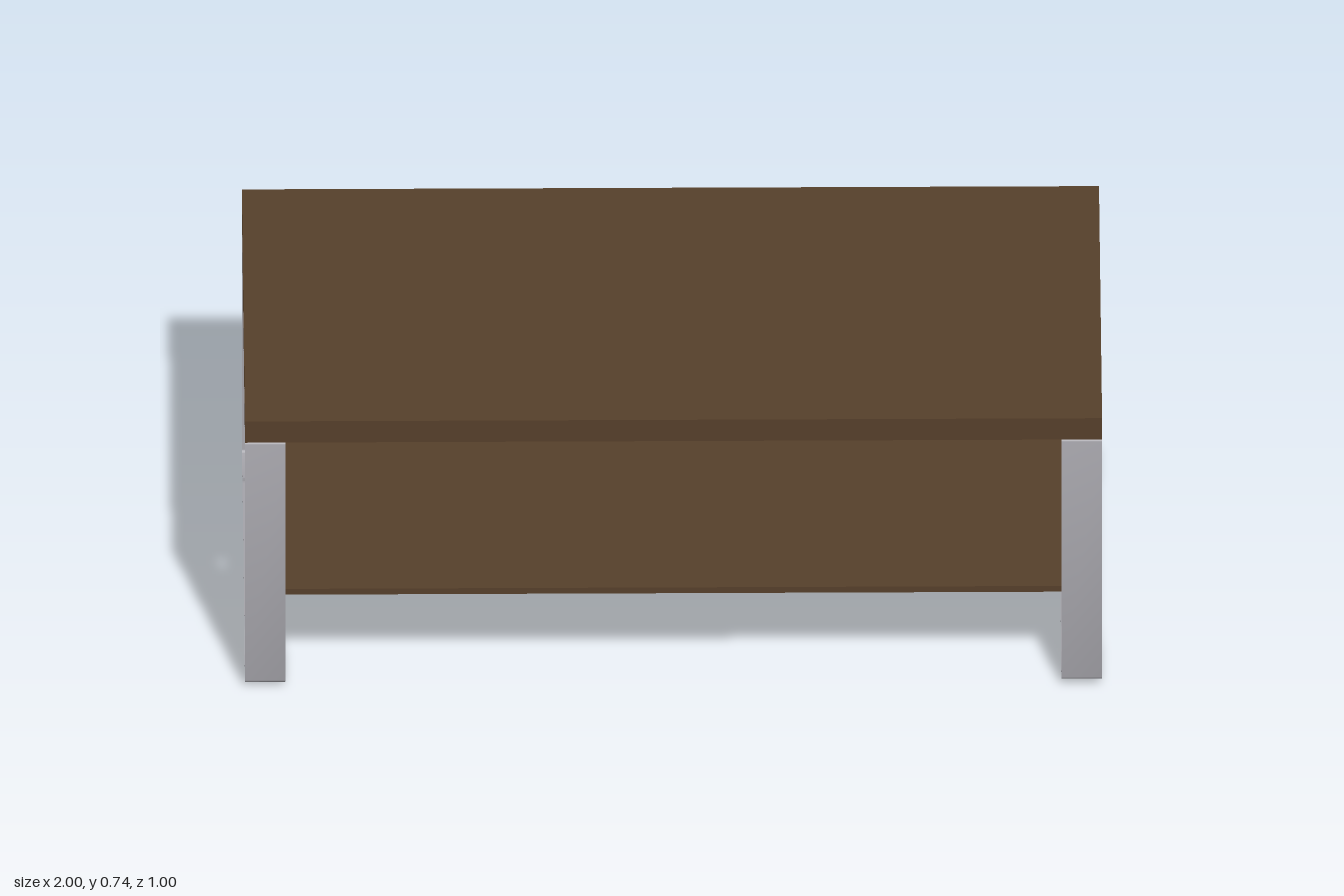
import * as THREE from 'three';
import { toCreasedNormals } from 'three/addons/utils/BufferGeometryUtils.js';

const mat = (name, color) => Object.assign(new THREE.MeshStandardMaterial({ color }), { name });

// Trace a closed polygon with rounded corners; each corner is [z, y, radius]
function roundedLoop(path, corners) {
  const n = corners.length;
  corners.forEach(([x, y, r], i) => {
    const here = new THREE.Vector2(x, y);
    const toward = (c) => new THREE.Vector2(c[0], c[1]).sub(here).setLength(r).add(here);
    const a = toward(corners[(i + n - 1) % n]);
    const b = toward(corners[(i + 1) % n]);
    if (i === 0) path.moveTo(a.x, a.y);
    else path.lineTo(a.x, a.y);
    path.quadraticCurveTo(x, y, b.x, b.y);
  });
  path.closePath();
  return path;
}

// Side frame outline, inset by t from the outer face of the strap
function frameCorners(t) {
  const right = [
    [0.318 - t * 0.3, 0.045 + t, 0.008],
    [0.383 - t * 0.3, 0.011 + t, 0.008],
    [0.499 - t, 0.011 + t, 0.014 - t],
    [0.499 - t, 0.68 - t, 0.009 - t],
  ];
  const left = right.map(([z, y, r]) => [-z, y, r]).reverse();
  return [...right, ...left];
}

export function createModel() {
  const wood = mat('dark wood', 0x553f2a);
  const metal = mat('brushed metal', 0xa3a2a8);
  const rubber = mat('black rubber', 0x262626);
  const model = new THREE.Group();
  model.name = 'coffeeTable';

  const add = (parent, name, geometry, material, x, y, z) => {
    const mesh = new THREE.Mesh(geometry, material);
    mesh.name = name;
    mesh.position.set(x, y, z);
    parent.add(mesh);
    return mesh;
  };

  // Wooden boards
  add(model, 'tableTop', new THREE.BoxGeometry(2, 0.059, 1), wood, 0, 0.7105, 0);
  add(model, 'shelf', new THREE.BoxGeometry(1.97, 0.016, 0.988), wood, 0, 0.263, 0);

  // Bent strap forming a closed loop, extruded across its width
  const width = 0.095;
  const shape = roundedLoop(new THREE.Shape(), frameCorners(0));
  shape.holes.push(roundedLoop(new THREE.Path(), frameCorners(0.004)));
  const strap = toCreasedNormals(
    new THREE.ExtrudeGeometry(shape, { depth: width, bevelEnabled: false, curveSegments: 6 })
      .translate(0, 0, -width / 2).rotateY(Math.PI / 2), 0.5);
  const rod = new THREE.CylinderGeometry(0.0085, 0.0085, 0.992, 16).rotateX(Math.PI / 2);
  const foot = new THREE.CylinderGeometry(0.027, 0.023, 0.012, 24);

  for (const side of [-1, 1]) {
    const frame = new THREE.Group();
    frame.name = side > 0 ? 'leftFrame' : 'rightFrame';
    add(frame, 'strap', strap, metal, side * (1 - width / 2), 0, 0);
    add(frame, 'upperRod', rod, metal, side * 0.98, 0.5285, 0);
    add(frame, 'shelfRod', rod, metal, side * 0.98, 0.2465, 0);
    for (const z of [-0.44, 0.44]) add(frame, 'foot', foot, rubber, side * 0.948, 0.006, z);
    model.add(frame);
  }
  return model;
}
